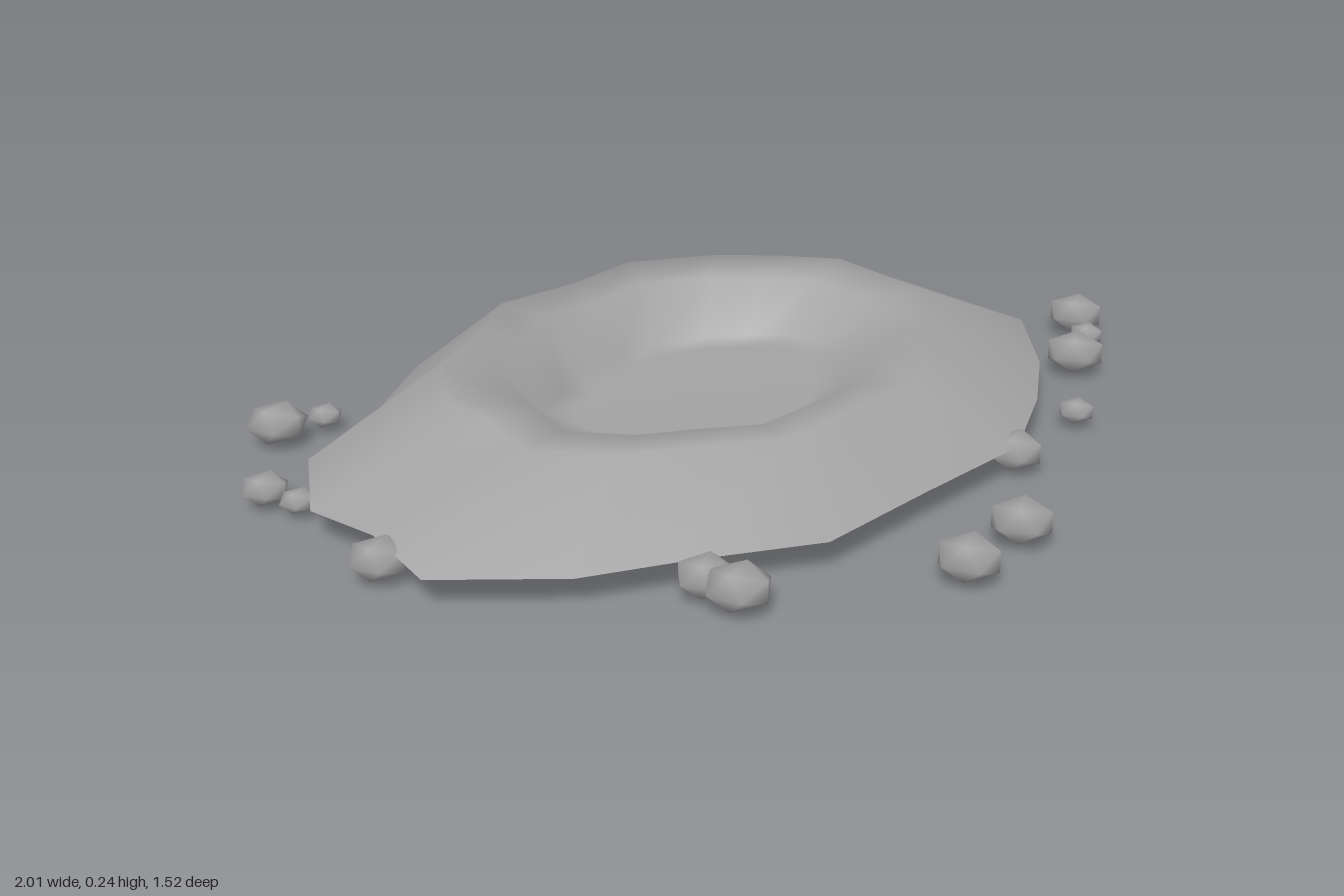
import * as THREE from 'three';
import { mergeVertices } from 'three/addons/utils/BufferGeometryUtils.js';

// Uneven rim outline around the crater centre, as [x, z] seen from above
const OUTLINE = [
  [0, -0.59], [0.27, -0.61], [0.545, -0.475], [0.71, -0.34], [0.86, -0.185],
  [0.87, 0], [0.875, 0.18], [0.69, 0.365], [0.515, 0.485], [0.29, 0.6],
  [0, 0.597], [-0.275, 0.6], [-0.49, 0.47], [-0.68, 0.37], [-0.865, 0.18],
  [-0.82, -0.02], [-0.84, -0.185], [-0.71, -0.38], [-0.485, -0.47], [-0.275, -0.61],
];
const CX = -0.1, CZ = -0.1, N = OUTLINE.length;

// The crest lies in a plane that rises toward the back
const crestHeight = z => 0.2 - 0.084 * z;

function ring(scale, height) {
  return OUTLINE.map(([x, z]) => {
    const pz = CZ + z * scale;
    return [CX + x * scale, height(pz), pz];
  });
}

// Skins a list of rings and closes the last one to a centre point
function skin(rings, centre, flip) {
  const positions = [...rings.flat(), centre].flat();
  const index = [];
  const tri = (a, b, c) => index.push(a, ...(flip ? [c, b] : [b, c]));
  rings.forEach((_, r) => {
    for (let i = 0; i < N; i++) {
      const j = (i + 1) % N, a = r * N + i, b = r * N + j;
      if (r === rings.length - 1) {
        tri(a, rings.length * N, b);
      } else {
        tri(a, a + N, b);
        tri(b, a + N, b + N);
      }
    }
  });
  const geometry = new THREE.BufferGeometry();
  geometry.setAttribute('position', new THREE.Float32BufferAttribute(positions, 3));
  geometry.setIndex(index);
  geometry.computeVertexNormals();
  return geometry;
}

// Scattered stones: x, z, radius
const STONES = [
  [-0.73, -0.71, 0.067], [-0.62, -0.7, 0.038], [-0.915, -0.475, 0.05], [-0.895, -0.395, 0.038],
  [-0.945, -0.07, 0.061], [-0.59, 0.4, 0.06], [-0.585, 0.475, 0.067], [-0.225, 0.7, 0.067],
  [-0.04, 0.68, 0.067], [0.21, 0.48, 0.062], [0.48, 0.44, 0.041], [0.725, 0.265, 0.07],
  [0.865, 0.2, 0.042], [0.935, 0.12, 0.068], [0.71, -0.42, 0.038], [0.75, -0.565, 0.038],
  [0.6, -0.46, 0.038],
];

export function createModel() {
  const model = new THREE.Group();
  model.name = 'crater';
  const stone = new THREE.MeshStandardMaterial({ color: 0xa3a3a3 });
  stone.name = 'grey stone';

  const add = (geometry, name) => {
    const mesh = new THREE.Mesh(geometry, stone);
    mesh.name = name;
    model.add(mesh);
    return mesh;
  };

  // Outer slope, crest, inner lip, steep wall and flat floor
  const base = ring(1, () => 0.065);
  add(skin([
    base,
    ring(0.67, crestHeight),
    ring(0.53, z => crestHeight(z) - 0.012),
    ring(0.42, () => 0.105),
    ring(0.34, () => 0.1),
  ], [CX, 0.1, CZ], false), 'craterTop');

  // Shallow cone beneath
  add(skin([base], [CX, 0, CZ], true), 'craterUnderside');

  // Smooth low-poly stones, flattened and turned a little
  const ico = new THREE.IcosahedronGeometry(1, 0);
  ico.deleteAttribute('normal');
  ico.deleteAttribute('uv');
  const pebble = mergeVertices(ico, 1e-3);
  pebble.computeVertexNormals();
  STONES.forEach(([x, z, r], i) => {
    const mesh = add(pebble, 'stone' + (i + 1));
    mesh.position.set(x, 0.014 + 0.53 * r, z);
    mesh.scale.set(r, r * 0.62, r);
    mesh.rotation.y = 0.3 + 0.1 * (i % 3);
  });
  return model;
}
